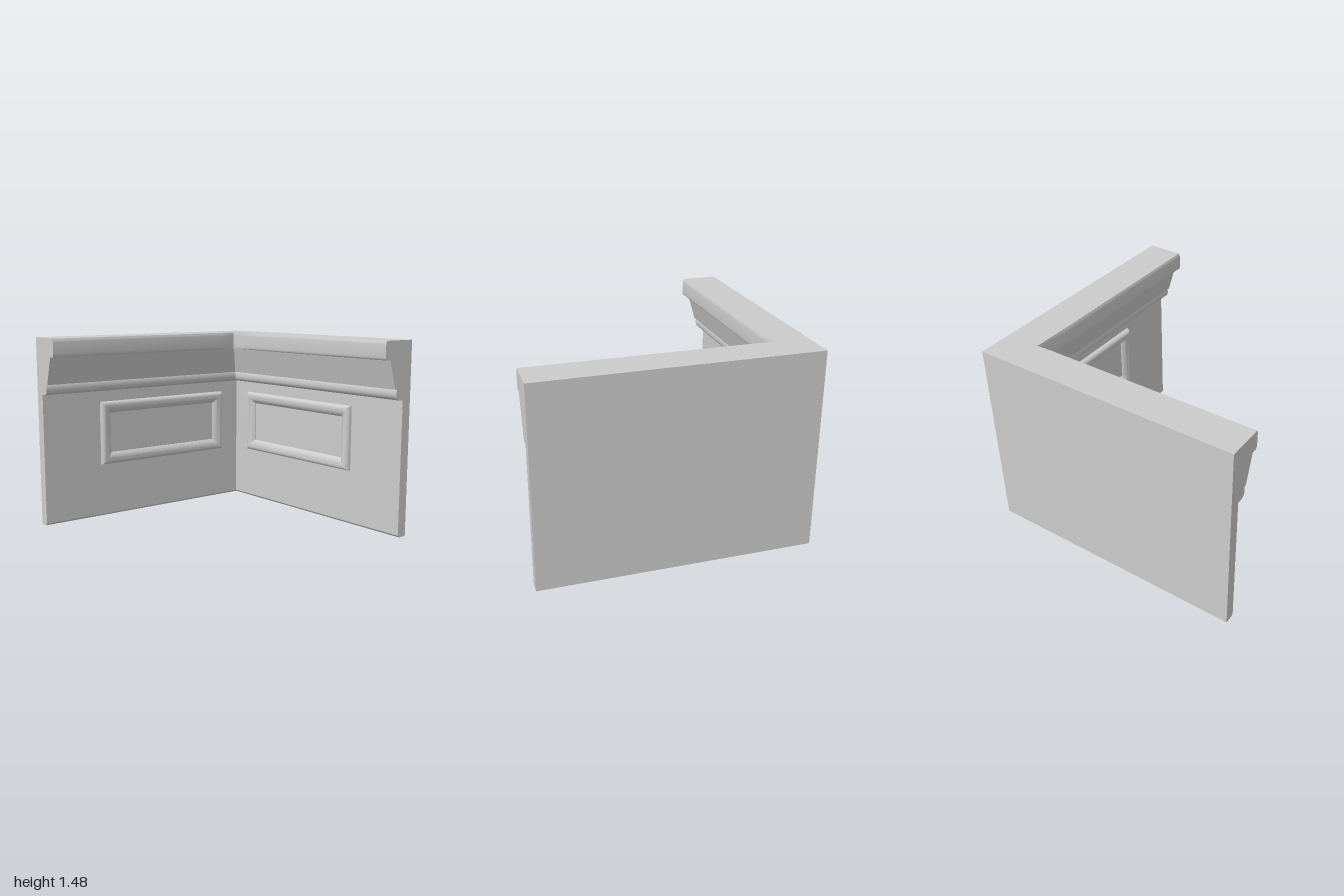
import * as THREE from 'three';
import { toCreasedNormals } from 'three/addons/utils/BufferGeometryUtils.js';

const material = new THREE.MeshStandardMaterial({ color: 0xcccccc });

// Apply a rule to every vertex, then rebuild normals with sharp edges kept.
function reshape(geometry, rule) {
  const pos = geometry.attributes.position;
  for (let i = 0; i < pos.count; i++) {
    pos.setXYZ(i, ...rule(pos.getX(i), pos.getY(i), pos.getZ(i)));
  }
  return toCreasedNormals(geometry, 0.6);
}

// Wall cross-section with cornice, swept round the mitred corner.
function createWall() {
  const s = new THREE.Shape();
  s.moveTo(1, 0);
  s.lineTo(1, 1.475);
  s.lineTo(0.73, 1.475);
  s.quadraticCurveTo(0.72, 1.46, 0.72, 1.44);
  s.lineTo(0.72, 1.36);
  s.quadraticCurveTo(0.722, 1.335, 0.735, 1.335);
  s.lineTo(0.77, 1.335);
  s.lineTo(0.835, 1.12);
  s.lineTo(0.855, 1.12);
  s.quadraticCurveTo(0.845, 1.1, 0.848, 1.075);
  s.quadraticCurveTo(0.852, 1.045, 0.88, 1.038);
  s.lineTo(0.92, 1.038);
  s.lineTo(0.92, 0.015);
  s.lineTo(0.935, 0);
  const geometry = new THREE.ExtrudeGeometry(s, {
    depth: 4, steps: 4, bevelEnabled: false, curveSegments: 5,
  });
  return reshape(geometry, (x, y, z) => {
    const c = Math.max(x, 0.735); // lip eases back slightly in the corner
    return [
      [-1, y, -x],
      [0.6, y, -x],
      [c, y, -c],
      [x, y, -0.45],
      [x, y, 1],
    ][Math.round(z)];
  });
}

// Four-sided lathe stretched into a mitred rectangular moulding.
function createFrame(width, height) {
  const profile = [
    [0, 0], [0, 0.008], [0.006, 0.026], [0.02, 0.038], [0.035, 0.04],
    [0.055, 0.036], [0.078, 0.024], [0.093, 0.008], [0.093, 0],
  ].map(([inset, out]) => new THREE.Vector2(1 - inset, out));
  const geometry = new THREE.LatheGeometry(profile, 4, Math.PI / 4);
  geometry.rotateX(Math.PI / 2);
  return reshape(geometry, (x, y, z) => {
    const inset = 1 - Math.hypot(x, y);
    return [
      Math.sign(x) * (width / 2 - inset),
      Math.sign(y) * (height / 2 - inset),
      z,
    ];
  });
}

export function createModel() {
  const model = new THREE.Group();
  const add = (name, geometry) => {
    const mesh = new THREE.Mesh(geometry, material);
    mesh.name = name;
    model.add(mesh);
    return mesh;
  };

  add('cornerWall', createWall());

  // Matching panel frames on the two inner faces
  const frame = createFrame(1.235, 0.515);
  add('backPanelFrame', frame).position.set(0.1175, 0.6875, -0.92);
  const side = add('sidePanelFrame', frame);
  side.position.set(0.92, 0.6875, -0.1175);
  side.rotation.y = -Math.PI / 2;

  return model;
}
